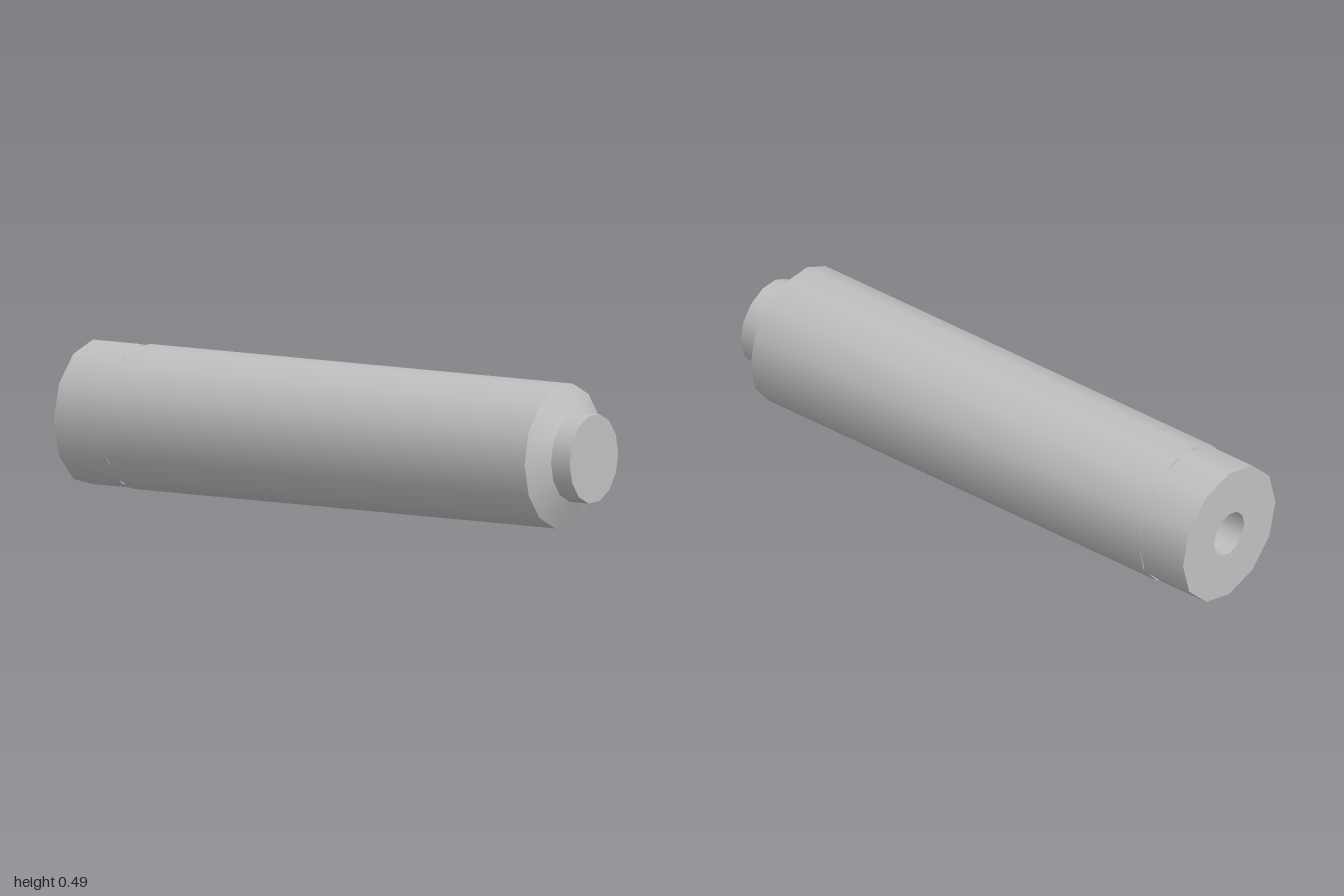
import * as THREE from 'three';

export function createModel() {
  const group = new THREE.Group();
  const grey = new THREE.MeshStandardMaterial({ color: 0xc0c0c0, side: THREE.DoubleSide });
  grey.name = 'grey metal';
  const axisY = 0.246;
  const seam = -0.807;

  const add = (name, geometry, x) => {
    const mesh = new THREE.Mesh(geometry, grey);
    mesh.name = name;
    mesh.position.set(x, axisY, 0);
    group.add(mesh);
  };

  // Round section along x, from x0 (radius r0) to x1 (radius r1)
  const section = (name, x0, x1, r0, r1, sides, open) => {
    const geometry = new THREE.CylinderGeometry(r1, r0, x1 - x0, sides, 1, open);
    geometry.rotateZ(-Math.PI / 2);
    add(name, geometry, (x0 + x1) / 2);
  };

  // Flat ring facing along x
  const ring = (name, x, inner, outer, sides, dir) => {
    add(name, new THREE.RingGeometry(inner, outer, sides).rotateY(dir * Math.PI / 2), x);
  };

  // Main barrel, its tapered shoulder and the end boss
  section('barrel', seam, 0.88, 0.246, 0.246, 14, false);
  section('shoulder', 0.88, 0.925, 0.246, 0.152, 14, true);
  section('boss', 0.925, 1, 0.152, 0.152, 14, false);

  // Rear collar with a central bore
  section('collar', -1, seam, 0.246, 0.246, 12, true);
  section('bore', -1, seam, 0.08, 0.08, 12, true);
  ring('collarRearFace', -1, 0.08, 0.246, 12, -1);
  ring('collarFrontFace', seam, 0.08, 0.246, 12, 1);

  return group;
}
